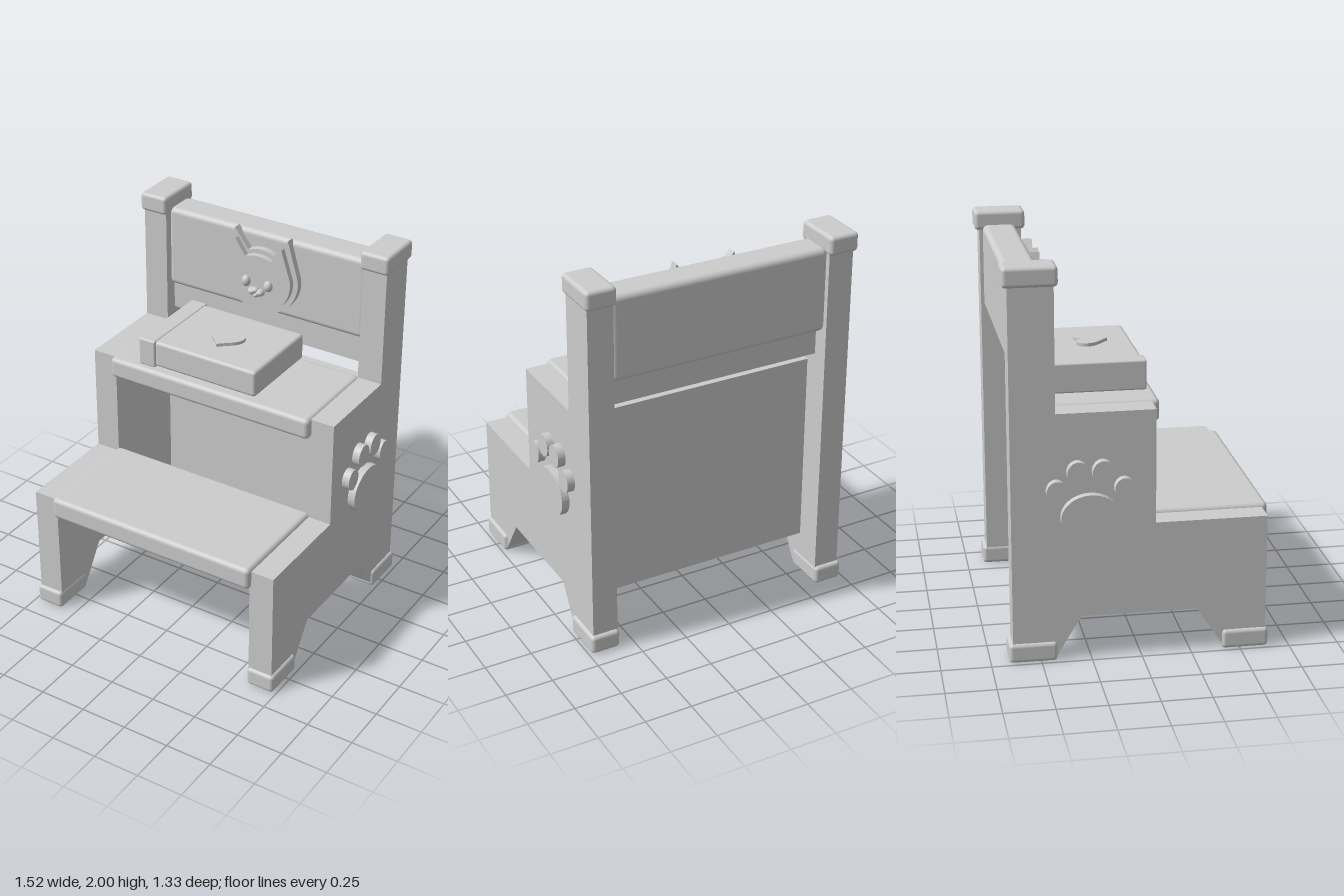
import * as THREE from 'three';
import { RoundedBoxGeometry } from 'three/addons/geometries/RoundedBoxGeometry.js';

export function createModel() {
  const model = new THREE.Group();
  const paint = new THREE.MeshStandardMaterial({ color: 0xcccccc });
  paint.name = 'pale grey';

  const add = (name, geometry, parent = model) => {
    const mesh = new THREE.Mesh(geometry, paint);
    mesh.name = name;
    parent.add(mesh);
    return mesh;
  };
  // Boxes are given by their limits on each axis; r rounds the edges
  const box = (name, x0, x1, y0, y1, z0, z1, r = 0, parent = model) => {
    const w = x1 - x0, h = y1 - y0, d = z1 - z0;
    const g = r ? new RoundedBoxGeometry(w, h, d, 3, r) : new THREE.BoxGeometry(w, h, d);
    return add(name, g.translate((x0 + x1) / 2, (y0 + y1) / 2, (z0 + z1) / 2), parent);
  };
  const extrude = (shape, depth) =>
    new THREE.ExtrudeGeometry(shape, { depth, bevelEnabled: false, curveSegments: 20 });
  // A (z, y) outline turned into a plate lying between x0 and x0 + depth
  const sidePlate = (shape, x0, depth) =>
    extrude(shape, depth).rotateY(-Math.PI / 2).translate(x0 + depth, 0, 0);

  // Stepped side panels with the leg arch cut out
  const sideShape = new THREE.Shape([
    [0.63, 0.03], [0.63, 0.7], [0.07, 0.7], [0.07, 1.28], [-0.42, 1.28], [-0.42, 1.95],
    [-0.64, 1.95], [-0.64, 0.03], [-0.42, 0.03], [-0.3, 0.23], [0.28, 0.23], [0.41, 0.03],
  ].map(([z, y]) => new THREE.Vector2(z, y)));

  // Paw pads: z, y, half width, half height
  const pads = [
    [-0.255, 0.755, 0.146, 0.12],
    [-0.088, 0.895, 0.05, 0.057], [-0.192, 0.985, 0.054, 0.06],
    [-0.316, 0.985, 0.054, 0.06], [-0.42, 0.895, 0.05, 0.057],
  ];

  for (const s of [1, -1]) {
    const side = new THREE.Group();
    side.name = s > 0 ? 'leftSide' : 'rightSide';
    model.add(side);
    add('sidePanel', sidePlate(sideShape, s > 0 ? 0.585 : -0.72, 0.135), side);
    const caps = [
      ['frontFoot', 0.58, 0.005, 0.105, 0.41, 0.645],
      ['backFoot', 0.58, 0.005, 0.105, -0.66, -0.42],
      ['postCap', 0.575, 1.9, 2, -0.665, -0.4],
    ];
    for (const [name, x, y0, y1, z0, z1] of caps) {
      box(name, s > 0 ? x : -0.735, s > 0 ? 0.735 : -x, y0, y1, z0, z1, 0.02, side);
    }
    const paw = new THREE.Group();
    paw.name = 'pawPrint';
    side.add(paw);
    pads.forEach(([z, y, rx, ry], i) => {
      const oval = new THREE.Shape().absellipse(z, y, rx, ry, 0, Math.PI * 2);
      add(i ? 'toePad' : 'mainPad', sidePlate(oval, s > 0 ? 0.715 : -0.76, 0.045), paw);
    });
  }

  // Treads, riser and back boards
  box('lowerTread', -0.595, 0.595, 0.6, 0.72, 0.05, 0.66, 0.025);
  box('upperTread', -0.595, 0.595, 1.175, 1.29, -0.43, 0.11, 0.025);
  box('lowerRiser', -0.59, 0.59, 0.23, 0.62, 0.07, 0.12);
  box('backPanel', -0.59, 0.59, 0.23, 1.27, -0.485, -0.43);
  box('backRail', -0.59, 0.59, 1.33, 1.52, -0.55, -0.49);
  box('backrest', -0.59, 0.59, 1.485, 1.93, -0.625, -0.45, 0.03);

  // Cat face plaque: two stacked layers, the upper one inset
  const cat = new THREE.Group();
  cat.name = 'catPlaque';
  model.add(cat);
  const headShape = (k, earTip, earBase, bottom) => {
    const p = new THREE.Shape();
    const w = 0.225 * k;
    p.moveTo(-0.157 * k, earTip);
    p.lineTo(-w * 0.97, 1.735);
    p.bezierCurveTo(-w * 1.06, 1.62, -w * 0.62, bottom, 0, bottom);
    p.bezierCurveTo(w * 0.62, bottom, w * 1.06, 1.62, w * 0.97, 1.735);
    p.lineTo(0.157 * k, earTip);
    p.lineTo(0.077, earBase);
    p.quadraticCurveTo(0, earBase + 0.035, -0.077, earBase);
    p.closePath();
    return p;
  };
  add('headBase', extrude(headShape(1, 1.94, 1.835, 1.494), 0.045).translate(0, 0, -0.46), cat);
  add('headFace', extrude(headShape(0.87, 1.895, 1.81, 1.525), 0.03).translate(0, 0, -0.415), cat);

  const ball = (name, x, y, z, rx, ry, rz) =>
    add(name, new THREE.SphereGeometry(1, 20, 14).scale(rx, ry, rz).translate(x, y, z), cat);
  for (const s of [-1, 1]) {
    ball('eye', s * 0.066, 1.675, -0.382, 0.024, 0.031, 0.025);
    ball('muzzle', s * 0.023, 1.633, -0.372, 0.024, 0.02, 0.028);
  }
  ball('nose', 0, 1.645, -0.365, 0.018, 0.015, 0.022);
  ball('chin', 0, 1.615, -0.375, 0.017, 0.014, 0.022);

  // Book with a raised heart, resting on the upper tread
  const book = new THREE.Group();
  book.name = 'book';
  model.add(book);
  box('pages', -0.345, 0.262, 1.295, 1.44, -0.42, 0.065, 0.018, book);
  box('spine', -0.432, -0.335, 1.29, 1.442, -0.43, 0.075, 0.01, book);
  const heart = new THREE.Shape();
  heart.moveTo(0, 0.06);
  heart.bezierCurveTo(-0.025, 0.2, 0, 0.06, 0, 0.06);
  heart.curves.length = 0;
  heart.moveTo(0, -0.085);
  heart.bezierCurveTo(0.035, -0.045, 0.094, -0.02, 0.094, 0.03);
  heart.bezierCurveTo(0.094, 0.09, 0.02, 0.1, 0, 0.05);
  heart.bezierCurveTo(-0.02, 0.1, -0.094, 0.09, -0.094, 0.03);
  heart.bezierCurveTo(-0.094, -0.02, -0.035, -0.045, 0, -0.085);
  add('heart', extrude(heart, 0.02).rotateX(-Math.PI / 2).translate(-0.043, 1.437, -0.145), book);

  return model;
}
